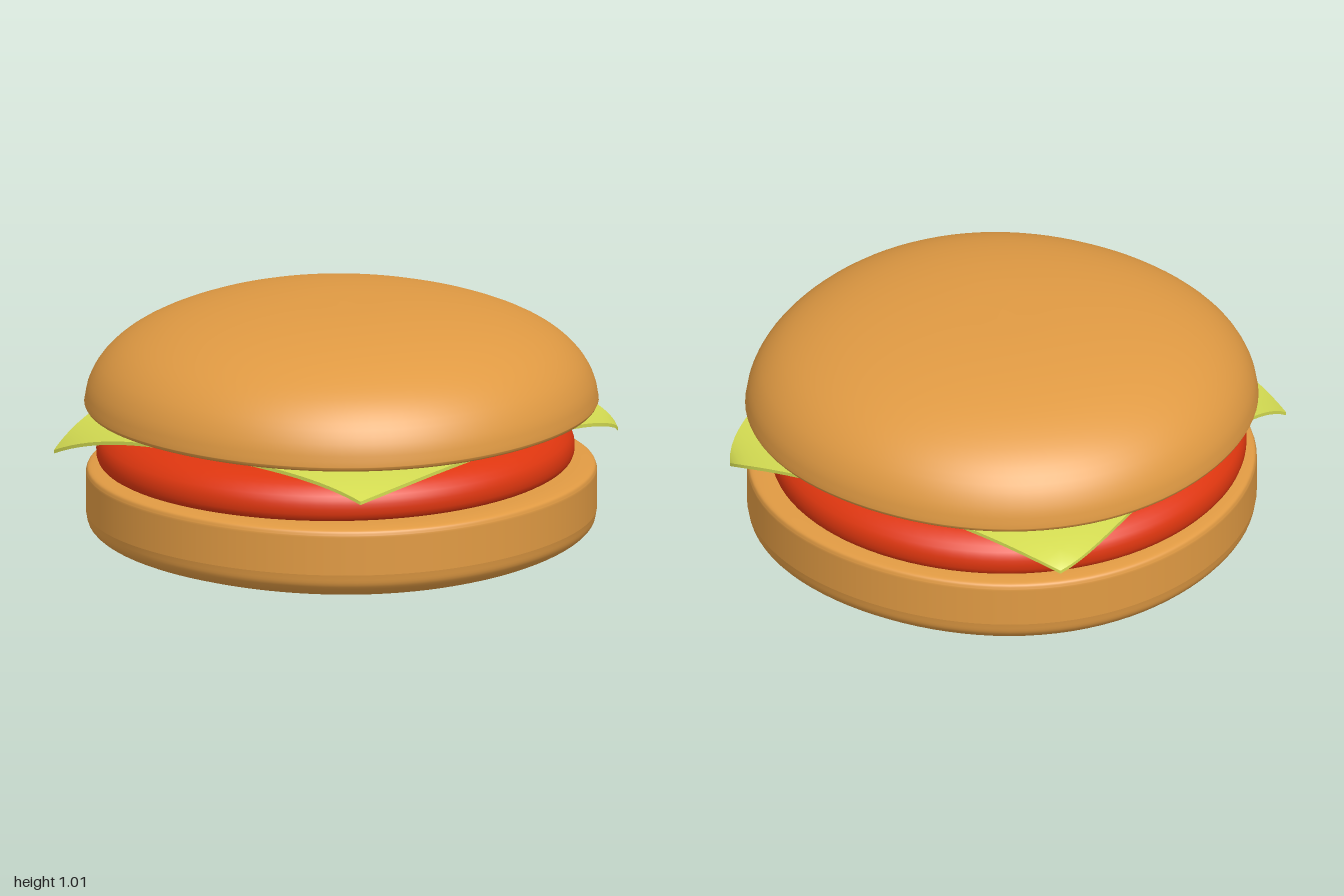
import * as THREE from 'three';

const mat = (color) => new THREE.MeshStandardMaterial({ color });

// Smooth turned body with a very slightly squared outline
function roundBody(name, profile, material, squareness) {
  const path = new THREE.CurvePath();
  for (const run of profile) {
    path.add(new THREE.CatmullRomCurve3(run.map(([r, y]) => new THREE.Vector3(r, y, 0)), false, 'centripetal'));
  }
  const points = [];
  path.curves.forEach((curve, i) => {
    const pts = curve.getPoints(24).map((p) => new THREE.Vector2(Math.max(p.x, 0), p.y));
    points.push(...(i ? pts.slice(1) : pts));
  });
  const geo = new THREE.LatheGeometry(points, 96);
  const pos = geo.attributes.position;
  for (let i = 0; i < pos.count; i++) {
    const a = Math.atan2(pos.getZ(i), pos.getX(i));
    const s = 1 + squareness * (1 - Math.cos(4 * a));
    pos.setX(i, pos.getX(i) * s);
    pos.setZ(i, pos.getZ(i) * s);
  }
  const mesh = new THREE.Mesh(geo, material);
  mesh.name = name;
  return mesh;
}

// Square slice whose four corners droop over the patty
function cheeseSlice(material) {
  const geo = new THREE.BoxGeometry(2, 0.014, 2, 32, 1, 32);
  const pos = geo.attributes.position;
  // pull of each corner in x and z, its drop, and how local the pull is
  const corners = {
    '1,1': { dx: -0.08, dz: -0.07, drop: 0.12, k: 5 },
    '1,-1': { dx: -0.04, dz: 0.07, drop: 0.1, k: 6 },
    '-1,1': { dx: 0, dz: -0.1, drop: 0.07, k: 3 },
    '-1,-1': { dx: 0.1, dz: 0, drop: 0.15, k: 3 },
  };
  for (let i = 0; i < pos.count; i++) {
    const u = pos.getX(i), v = pos.getZ(i);
    const c = corners[`${u < 0 ? -1 : 1},${v < 0 ? -1 : 1}`];
    const w = Math.abs(u * v);
    const pull = w ** c.k;
    pos.setXYZ(i, 0.86 * u + c.dx * pull, 0.563 + pos.getY(i) - c.drop * w ** 2.6, 0.855 * v + c.dz * pull);
  }
  geo.computeVertexNormals();
  const mesh = new THREE.Mesh(geo, material);
  mesh.name = 'cheeseSlice';
  return mesh;
}

export function createModel() {
  const group = new THREE.Group();
  group.name = 'burger';
  const bun = mat(0xe09a43);

  // Bottom bun: flat top, straight wall, rounded underside
  group.add(roundBody('bottomBun', [
    [[0, 0.004], [0.4, 0.008], [0.75, 0.025], [0.92, 0.065], [0.98, 0.11], [0.993, 0.16]],
    [[0.993, 0.16], [0.993, 0.32]],
    [[0.993, 0.32], [0.985, 0.338], [0.95, 0.347], [0.85, 0.35], [0, 0.35]],
  ], bun, 0.011));

  // Patty, set slightly towards the back
  const patty = roundBody('patty', [
    [[0, 0.35], [0.85, 0.35], [0.925, 0.355], [0.95, 0.375], [0.955, 0.42], [0.94, 0.46],
      [0.89, 0.502], [0.8, 0.53], [0.6, 0.548], [0.3, 0.555], [0, 0.556]],
  ], mat(0xde360f), 0.005);
  patty.scale.z = 0.974;
  patty.position.z = -0.03;
  group.add(patty);

  group.add(cheeseSlice(mat(0xd4dc52)));

  // Top bun: shallow underside, soft rim, dome
  group.add(roundBody('topBun', [
    [[0, 0.566], [0.5, 0.567], [0.8, 0.573], [0.95, 0.581], [0.99, 0.589], [1, 0.605]],
    [[1, 0.605], [0.985, 0.68], [0.94, 0.765], [0.85, 0.85], [0.7, 0.925], [0.5, 0.977], [0.25, 1.007], [0, 1.014]],
  ], bun, 0.011));

  return group;
}
